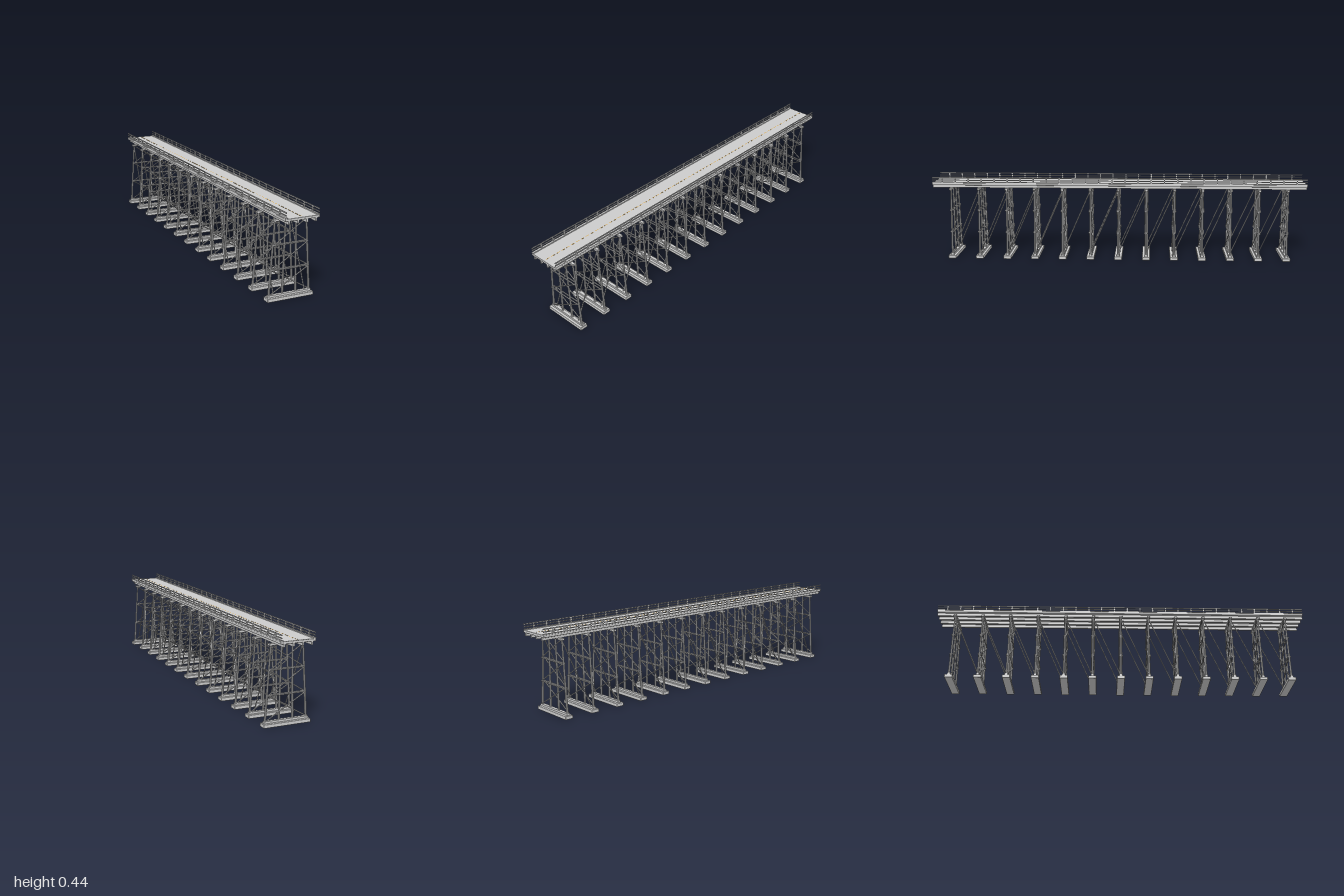
import * as THREE from 'three';
import { RoundedBoxGeometry } from 'three/addons/geometries/RoundedBoxGeometry.js';

const grey = new THREE.MeshStandardMaterial({ color: 0xcccccc });
const facet = new THREE.MeshStandardMaterial({ color: 0xcccccc, flatShading: true });
const yellow = new THREE.MeshStandardMaterial({ color: 0xd9a441 });
const UP = new THREE.Vector3(0, 1, 0);

function add(parent, name, geometry, x, y, z, material = grey) {
  const mesh = new THREE.Mesh(geometry, material);
  mesh.name = name;
  mesh.position.set(x, y, z);
  parent.add(mesh);
  return mesh;
}

// box given by its bottom and top heights
function slab(parent, name, w, y0, y1, d, x = 0, z = 0, bevel = 0) {
  const h = y1 - y0;
  const geo = bevel ? new RoundedBoxGeometry(w, h, d, 1, bevel) : new THREE.BoxGeometry(w, h, d);
  return add(parent, name, geo, x, (y0 + y1) / 2, z);
}

// round timber from point a to point b
function pole(parent, name, a, b, r0, r1 = r0) {
  const p = new THREE.Vector3(...a), q = new THREE.Vector3(...b);
  const dir = q.clone().sub(p);
  const mid = p.clone().add(q).multiplyScalar(0.5);
  const mesh = add(parent, name, new THREE.CylinderGeometry(r1, r0, dir.length(), 8), mid.x, mid.y, mid.z, facet);
  mesh.quaternion.setFromUnitVectors(UP, dir.normalize());
  return mesh;
}

const LEG_LOW = 0.026, LEG_HIGH = 0.374;
const levels = [0.028, 0.145, 0.262, 0.374];
const outerX = (y) => THREE.MathUtils.mapLinear(y, LEG_LOW, LEG_HIGH, 0.105, 0.081);

// one trestle frame standing across the bridge
function makeBent() {
  const bent = new THREE.Group();
  bent.name = 'trestleBent';
  slab(bent, 'footing', 0.24, 0, 0.018, 0.042, 0, 0, 0.003);
  slab(bent, 'sill', 0.226, 0.018, 0.028, 0.016);
  slab(bent, 'cap', 0.187, 0.372, 0.383, 0.016, 0, 0, 0.002);
  for (const s of [-1, 1]) {
    pole(bent, 'outerLeg', [s * 0.105, LEG_LOW, 0], [s * 0.081, LEG_HIGH, 0], 0.0058, 0.0045);
    pole(bent, 'innerLeg', [s * 0.035, LEG_LOW, 0], [s * 0.027, LEG_HIGH, 0], 0.0055, 0.0045);
    // girts and diagonals lie on both faces of the legs
    const z = s * 0.007;
    for (const y of levels.slice(1, 3)) {
      pole(bent, 'girt', [-outerX(y), y, z], [outerX(y), y, z], 0.0033);
    }
    for (let i = 0; i < 3; i++) {
      const [y0, y1] = [levels[i], levels[i + 1]];
      pole(bent, 'crossBrace', [-s * outerX(y0), y0, z], [s * outerX(y1), y1, z], 0.0029);
    }
  }
  return bent;
}

export function createModel() {
  const bridge = new THREE.Group();
  bridge.name = 'trestleBridge';

  // row of thirteen bents
  const bent = makeBent();
  for (let i = 0; i < 13; i++) {
    const copy = bent.clone();
    copy.position.z = -0.9 + i * 0.15;
    bridge.add(copy);
  }

  // lengthwise braces rising towards the back
  for (let i = 0; i < 12; i++) {
    const z = -0.9 + i * 0.15;
    for (const s of [-1, 1]) {
      pole(bridge, 'lengthwiseBrace', [s * 0.081, 0.03, z + 0.15], [s * 0.081, 0.372, z], 0.0029);
    }
  }

  // stringers and deck
  for (const x of [-0.068, -0.023, 0.023, 0.068]) {
    slab(bridge, 'stringer', 0.009, 0.383, 0.399, 2, x);
  }
  slab(bridge, 'deck', 0.174, 0.398, 0.41, 2, 0, 0, 0.002);

  // dashed centre line
  for (let i = 0; i < 66; i++) {
    slab(bridge, 'centreDash', 0.003, 0.4098, 0.4106, 0.02, 0, -0.975 + i * 0.03).material = yellow;
  }

  // curbs and railings
  for (const s of [-1, 1]) {
    slab(bridge, 'curb', 0.011, 0.41, 0.415, 2, s * 0.0815);
    slab(bridge, 'topRail', 0.004, 0.4345, 0.44, 2, s * 0.083);
    slab(bridge, 'midRail', 0.004, 0.4225, 0.427, 2, s * 0.083);
    for (let i = 0; i < 28; i++) {
      slab(bridge, 'railPost', 0.005, 0.41, 0.439, 0.006, s * 0.0835, -0.945 + i * 0.07);
    }
  }
  return bridge;
}
